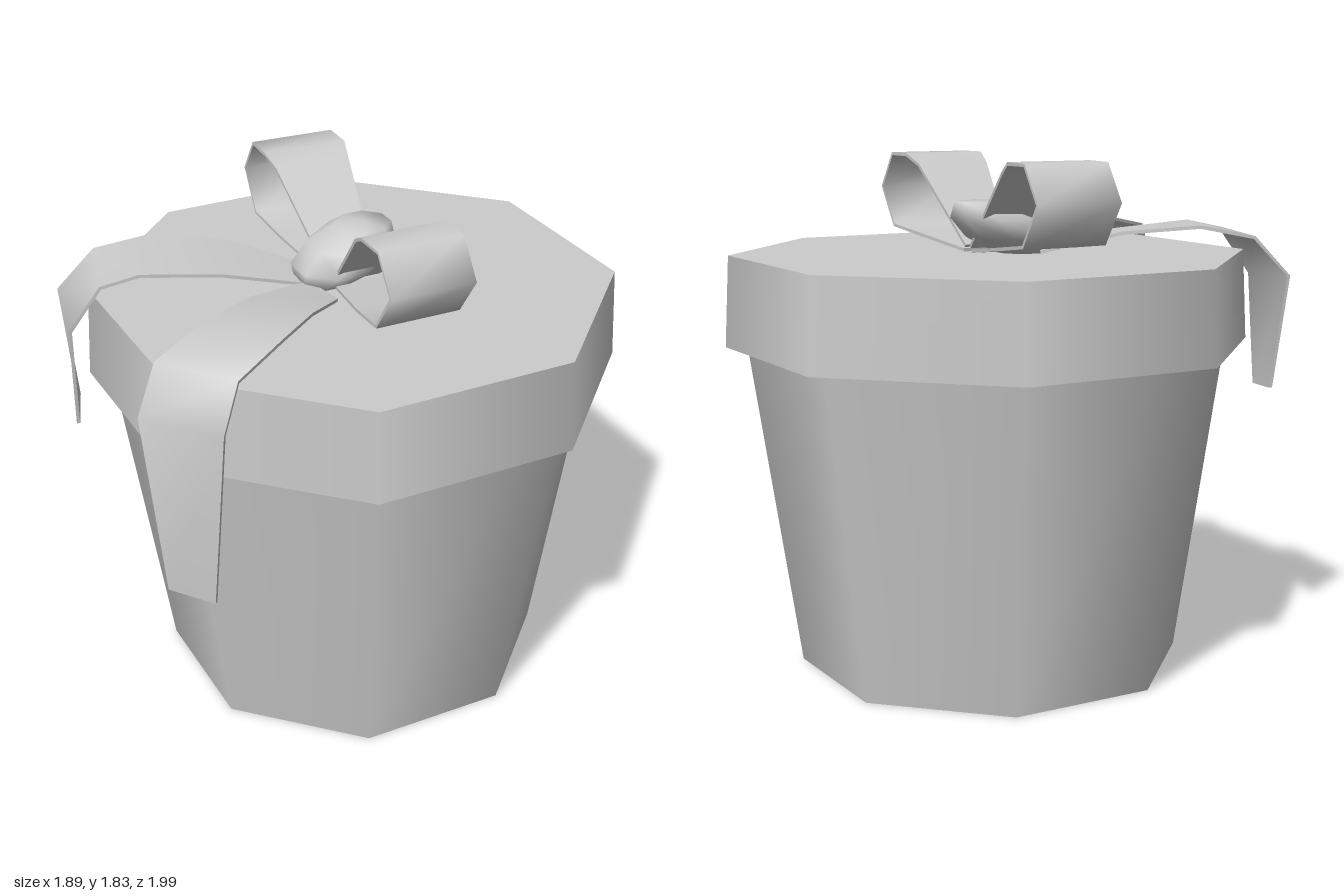
import * as THREE from 'three';
import { mergeVertices } from 'three/addons/utils/BufferGeometryUtils.js';

const V = (p) => new THREE.Vector3(...p);
const CENTRE_Z = -0.05;

// Thin band swept through [leftEdge, rightEdge] pairs: smooth lengthwise, sharp at its edges
function ribbonGeometry(sections, thickness = 0.012) {
  const left = sections.map((s) => V(s[0]));
  const right = sections.map((s) => V(s[1]));
  const mid = left.map((p, i) => p.clone().lerp(right[i], 0.5));
  const last = sections.length - 1;
  const rings = left.map((l, i) => {
    const along = mid[Math.min(i + 1, last)].clone().sub(mid[Math.max(i - 1, 0)]);
    const n = along.cross(right[i].clone().sub(l)).setLength(thickness / 2);
    return [l.clone().add(n), right[i].clone().add(n), right[i].clone().sub(n), l.clone().sub(n)];
  });
  const pos = [], idx = [];
  for (let k = 0; k < 4; k++) {
    const base = pos.length / 3;
    rings.forEach((r, i) => {
      pos.push(...r[k].toArray(), ...r[(k + 1) % 4].toArray());
      const a = base + i * 2;
      if (i < last) idx.push(a, a + 2, a + 1, a + 1, a + 2, a + 3);
    });
  }
  // End caps
  [rings[0], [...rings[last]].reverse()].forEach((r) => {
    const a = pos.length / 3;
    r.forEach((p) => pos.push(...p.toArray()));
    idx.push(a, a + 1, a + 2, a, a + 2, a + 3);
  });
  const g = new THREE.BufferGeometry();
  g.setAttribute('position', new THREE.Float32BufferAttribute(pos, 3));
  g.setIndex(idx);
  g.computeVertexNormals();
  return g;
}

// Bow loop pointing along (dx, dz) and ending at the given reach
function loopGeometry(dx, dz, reach) {
  const profile = [
    [0.02, 1.515, 0.09], [reach - 0.28, 1.79, 0.14], [reach - 0.21, 1.825, 0.155],
    [reach - 0.09, 1.825, 0.155], [reach, 1.7, 0.155], [reach - 0.1, 1.56, 0.155],
    [reach - 0.27, 1.54, 0.14], [0.03, 1.5, 0.09],
  ];
  return ribbonGeometry(profile.map(([u, y, w]) => [-w, w].map(
    (s) => [u * dx - s * dz, y, CENTRE_Z + u * dz + s * dx])));
}

// Lumpy knot: a coarse ball with a flattened crown leaning backwards
function knotGeometry() {
  const ball = new THREE.SphereGeometry(1, 8, 5);
  ball.deleteAttribute('uv');
  ball.deleteAttribute('normal');
  const g = mergeVertices(ball, 1e-3);
  const p = g.attributes.position;
  for (let i = 0; i < p.count; i++) {
    const y = THREE.MathUtils.clamp(p.getY(i) * 1.2, -1, 1);
    p.setXYZ(i, -0.06 + p.getX(i) * 0.165 + y * 0.03, 1.585 + y * 0.095,
      -0.06 + p.getZ(i) * 0.165 - y * 0.08);
  }
  g.computeVertexNormals();
  return g;
}

export function createModel() {
  const group = new THREE.Group();
  const grey = new THREE.MeshStandardMaterial({ color: 0xcccccc });
  const greyDouble = new THREE.MeshStandardMaterial({ color: 0xcccccc, side: THREE.DoubleSide });
  const add = (name, geometry, material = grey) => {
    const mesh = new THREE.Mesh(geometry, material);
    mesh.name = name;
    group.add(mesh);
    return mesh;
  };

  // Tapered eight-sided box, continuing up inside the lid
  add('box', new THREE.CylinderGeometry(0.915, 0.695, 1.48, 8)).position.set(0, 0.74, CENTRE_Z);

  // Lid: open skirt and flat top
  add('lidSkirt', new THREE.CylinderGeometry(0.928, 0.945, 0.325, 8, 1, true), greyDouble)
    .position.set(0, 1.3275, CENTRE_Z);
  const top = add('lidTop', new THREE.CircleGeometry(0.928, 8), greyDouble);
  top.rotation.x = -Math.PI / 2;
  top.position.set(0, 1.49, CENTRE_Z);

  // Bow
  add('bowLoopLeft', loopGeometry(0.92, 0.4, 0.57));
  add('bowLoopRight', loopGeometry(-0.9, -0.435, 0.65));
  add('bowKnot', knotGeometry());

  // Ribbon tails draped over the rim
  add('ribbonTailFront', ribbonGeometry([
    [[-0.1, 1.5, 0.08], [0.07, 1.5, 0.12]],
    [[-0.09, 1.555, 0.38], [0.15, 1.555, 0.34]],
    [[-0.06, 1.57, 0.64], [0.22, 1.57, 0.56]],
    [[-0.04, 1.53, 0.88], [0.25, 1.53, 0.8]],
    [[-0.01, 1.39, 0.99], [0.28, 1.39, 0.9]],
    [[0.03, 0.72, 0.94], [0.2, 0.715, 0.89]],
  ]));
  add('ribbonTailRight', ribbonGeometry([
    [[-0.2, 1.5, -0.02], [-0.1, 1.5, 0.1]],
    [[-0.45, 1.57, 0.12], [-0.28, 1.56, 0.33]],
    [[-0.66, 1.59, 0.3], [-0.45, 1.585, 0.55]],
    [[-0.79, 1.55, 0.45], [-0.53, 1.555, 0.66]],
    [[-0.87, 1.41, 0.56], [-0.61, 1.39, 0.74]],
    [[-0.81, 1.0, 0.56], [-0.67, 0.985, 0.69]],
  ]));
  return group;
}
